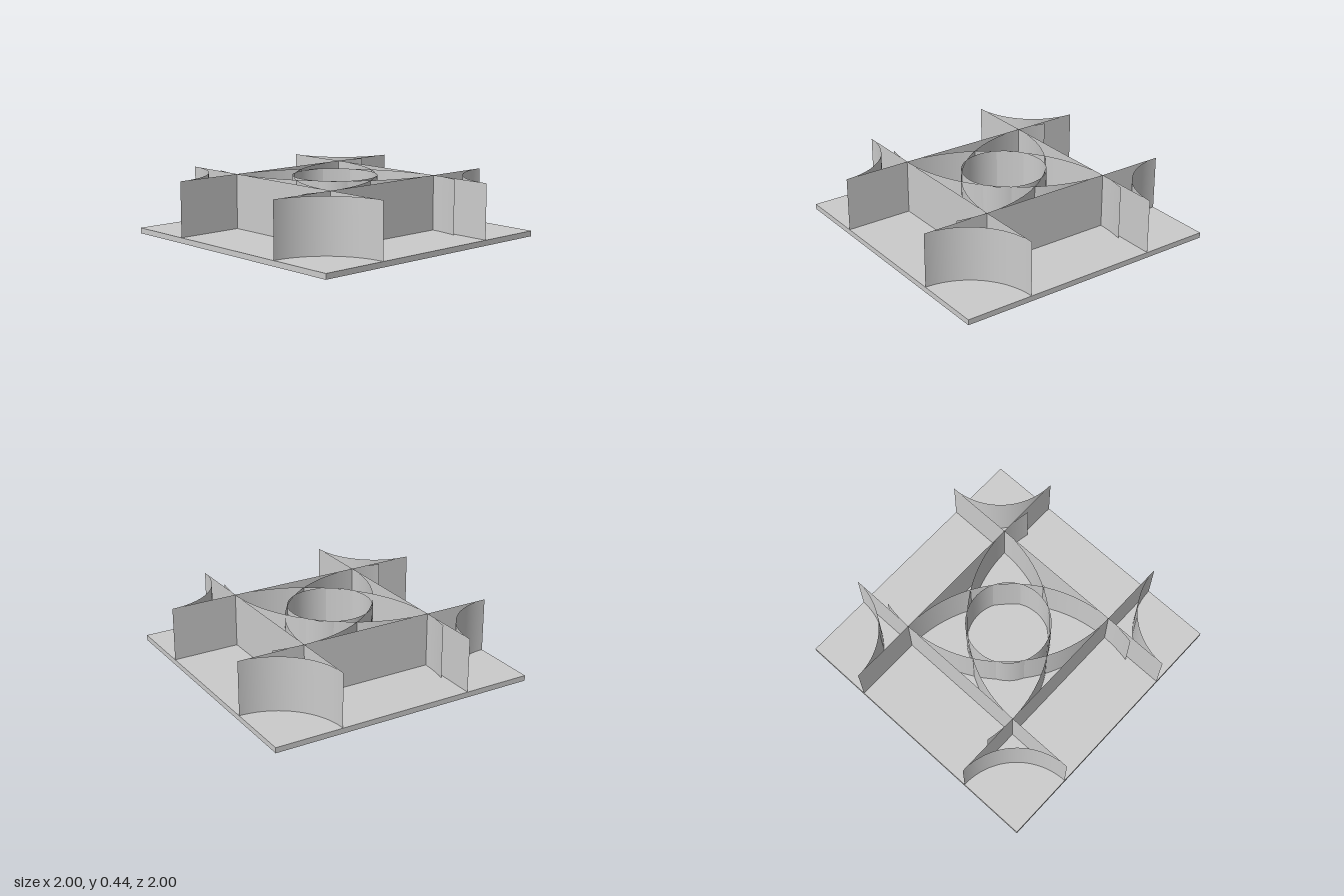
import * as THREE from 'three';

const BASE = 0.04, WALL = 0.4;

export function createModel() {
  const model = new THREE.Group();
  model.name = 'partitionedTray';
  const solid = new THREE.MeshStandardMaterial({ color: 0xcccccc });
  const thin = new THREE.MeshStandardMaterial({ color: 0xcccccc, side: THREE.DoubleSide });

  const add = (parent, name, geometry, material, x, y, z) => {
    const mesh = new THREE.Mesh(geometry, material);
    mesh.name = name;
    mesh.position.set(x, y, z);
    parent.add(mesh);
  };
  // Thin upright wall following a circular arc
  const arc = (radius, start, length) =>
    new THREE.CylinderGeometry(radius, radius, WALL, 40, 1, true, start, length);

  // Square floor plate
  add(model, 'floorPlate', new THREE.BoxGeometry(2, BASE, 2), solid, 0, BASE / 2, 0);

  const y = BASE + WALL / 2;

  // Round wall in the middle
  add(model, 'centreRing', arc(0.305, 0, Math.PI * 2), thin, 0, y, 0);

  // Each quarter turn repeats a straight wall, a corner arc and a sweeping inner arc
  const wallGeometry = new THREE.PlaneGeometry(2, WALL);
  const cornerGeometry = arc(0.5, Math.PI * 1.5 - 1.55, 1.55);
  const sweepGeometry = arc(1, Math.PI - 1.8, 1.8);
  for (let i = 0; i < 4; i++) {
    const quarter = new THREE.Group();
    quarter.name = 'quarterWalls' + (i + 1);
    add(quarter, 'straightWall', wallGeometry, thin, 0, y, 0.5);
    add(quarter, 'cornerArc', cornerGeometry, thin, 1, y, 1);
    add(quarter, 'innerArc', sweepGeometry, thin, -0.5, y, 0.5);
    quarter.rotation.y = i * Math.PI / 2;
    model.add(quarter);
  }
  return model;
}
